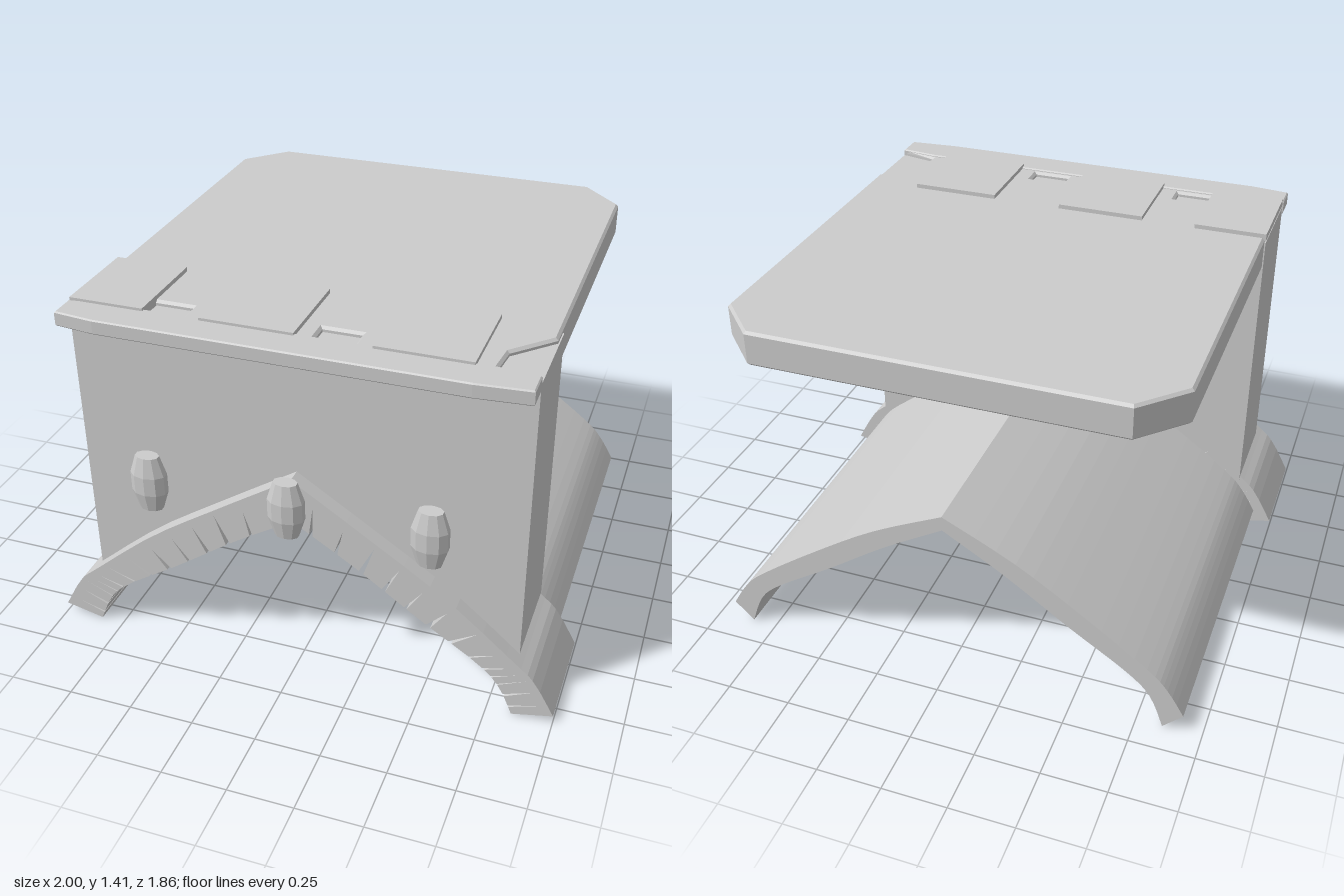
import * as THREE from 'three';

const material = new THREE.MeshStandardMaterial({ color: 0xcccccc, flatShading: true });
const v2 = ([x, y]) => new THREE.Vector2(x, y);
const mirrorX = (p) => new THREE.Vector2(-p.x, p.y);

// Half curves run from the springing (right foot) to the apex
const archInner = new THREE.SplineCurve([[0.845, 0.005], [0.79, 0.125], [0.7, 0.215], [0.48, 0.36], [0.24, 0.53], [0, 0.68]].map(v2));
const archOuter = new THREE.SplineCurve([[1, 0.04], [0.92, 0.18], [0.84, 0.255], [0.58, 0.475], [0.3, 0.665], [0, 0.86]].map(v2));
const vaultInner = new THREE.SplineCurve([[0.85, 0.005], [0.795, 0.14], [0.7, 0.232], [0.48, 0.377], [0.24, 0.545], [0, 0.69]].map(v2));
const vaultOuter = new THREE.SplineCurve([[0.925, 0.08], [0.86, 0.185], [0.78, 0.265], [0.54, 0.44], [0.28, 0.61], [0, 0.75]].map(v2));

// Joins half outlines to a closed symmetric arch outline
function archShape(outer, inner) {
  const right = [...outer].reverse();
  const left = outer.slice(0, -1).map(mirrorX);
  const under = [...inner.map(mirrorX), ...inner.slice(0, -1).reverse()];
  return new THREE.Shape([...right.reverse(), ...left.reverse(), ...under]);
}

function addMesh(group, name, geometry) {
  const mesh = new THREE.Mesh(geometry, material);
  mesh.name = name;
  group.add(mesh);
  return mesh;
}

// Front-facing outline extruded between two depths
function extrudeZ(shape, z0, z1) {
  return new THREE.ExtrudeGeometry(shape, { depth: z1 - z0, bevelEnabled: false }).translate(0, 0, z0);
}

// Plan outline in (x, z) raised between two heights, with a small bevel
function extrudeY(points, y0, y1, bevel, holes = []) {
  const plan = (list) => list.map(([x, z]) => new THREE.Vector2(x, -z));
  const shape = new THREE.Shape(plan(points));
  for (const hole of holes) shape.holes.push(new THREE.Path(plan(hole)));
  return new THREE.ExtrudeGeometry(shape, {
    depth: y1 - y0 - 2 * bevel, bevelEnabled: true, bevelSegments: 1,
    bevelSize: bevel, bevelThickness: bevel, bevelOffset: -bevel,
  }).rotateX(-Math.PI / 2).translate(0, y0 + bevel, 0);
}

export function createModel() {
  const model = new THREE.Group();

  // Barrel vault behind the facade
  addMesh(model, 'vault', extrudeZ(archShape(vaultOuter.getPoints(20), vaultInner.getPoints(20)), -0.89, 0.42));

  // Stone arch: wedge joints are cut into its inner edge
  const stones = 14;
  const inner = [archInner.getPoint(0)];
  for (let i = 1; i < stones; i++) {
    const t = i / stones;
    const gap = 0.005 + 0.003 * (i % 3);
    inner.push(
      archInner.getPoint(t - gap),
      archInner.getPoint(t).lerp(archOuter.getPoint(t), 0.68 + 0.06 * (i % 4)),
      archInner.getPoint(t + 0.003),
    );
  }
  inner.push(archInner.getPoint(1));
  addMesh(model, 'stoneArch', extrudeZ(archShape(archOuter.getPoints(stones), inner), 0.41, 0.83));

  // Facade wall, its foot following the arch
  const wall = new THREE.Shape([
    [-0.85, 1.375], [-0.85, 0.235], [-0.58, 0.44], [-0.3, 0.63], [0, 0.81],
    [0.3, 0.63], [0.58, 0.44], [0.85, 0.235], [0.85, 1.375],
  ].map(v2));
  addMesh(model, 'facadeWall', extrudeZ(wall, 0.4, 0.77));

  // Deck with cut rear corners, a broken front corner and two pits
  const pit = (x) => [[x, 0.655], [x + 0.145, 0.655], [x + 0.145, 0.725], [x, 0.725]];
  addMesh(model, 'deck', extrudeY([
    [-0.845, 0.76], [0.845, 0.76], [0.7, 0.73], [0.71, 0.62], [0.845, 0.48],
    [0.845, -0.77], [0.69, -0.93], [-0.69, -0.93], [-0.845, -0.77],
  ], 1.26, 1.395, 0.01, [pit(-0.565), pit(0.065)]));

  // Projecting cornice with tapered ends
  addMesh(model, 'cornice', extrudeY([
    [-0.855, 0.86], [-0.7, 0.878], [0.65, 0.878], [0.85, 0.862],
    [0.85, 0.76], [0.7, 0.742], [-0.7, 0.742], [-0.855, 0.76],
  ], 1.345, 1.402, 0.005));

  // Thin paving slabs along the front of the deck
  for (const [x0, x1] of [[-0.85, -0.565], [-0.35, 0], [0.28, 0.63]]) {
    const slab = addMesh(model, 'pavingSlab', new THREE.BoxGeometry(x1 - x0, 0.03, 0.36));
    slab.position.set((x0 + x1) / 2, 1.397, 0.58);
  }

  // Flattened barrel-shaped ornaments on the facade
  const profile = [[0, 0.66], [0.046, 0.66], [0.07, 0.735], [0.07, 0.81], [0.046, 0.885], [0, 0.885]].map(v2);
  for (const x of [-0.535, 0, 0.53]) {
    const ornament = addMesh(model, 'ornament', new THREE.LatheGeometry(profile, 10));
    ornament.scale.z = 0.66;
    ornament.position.set(x, 0, 0.88);
  }

  return model;
}
